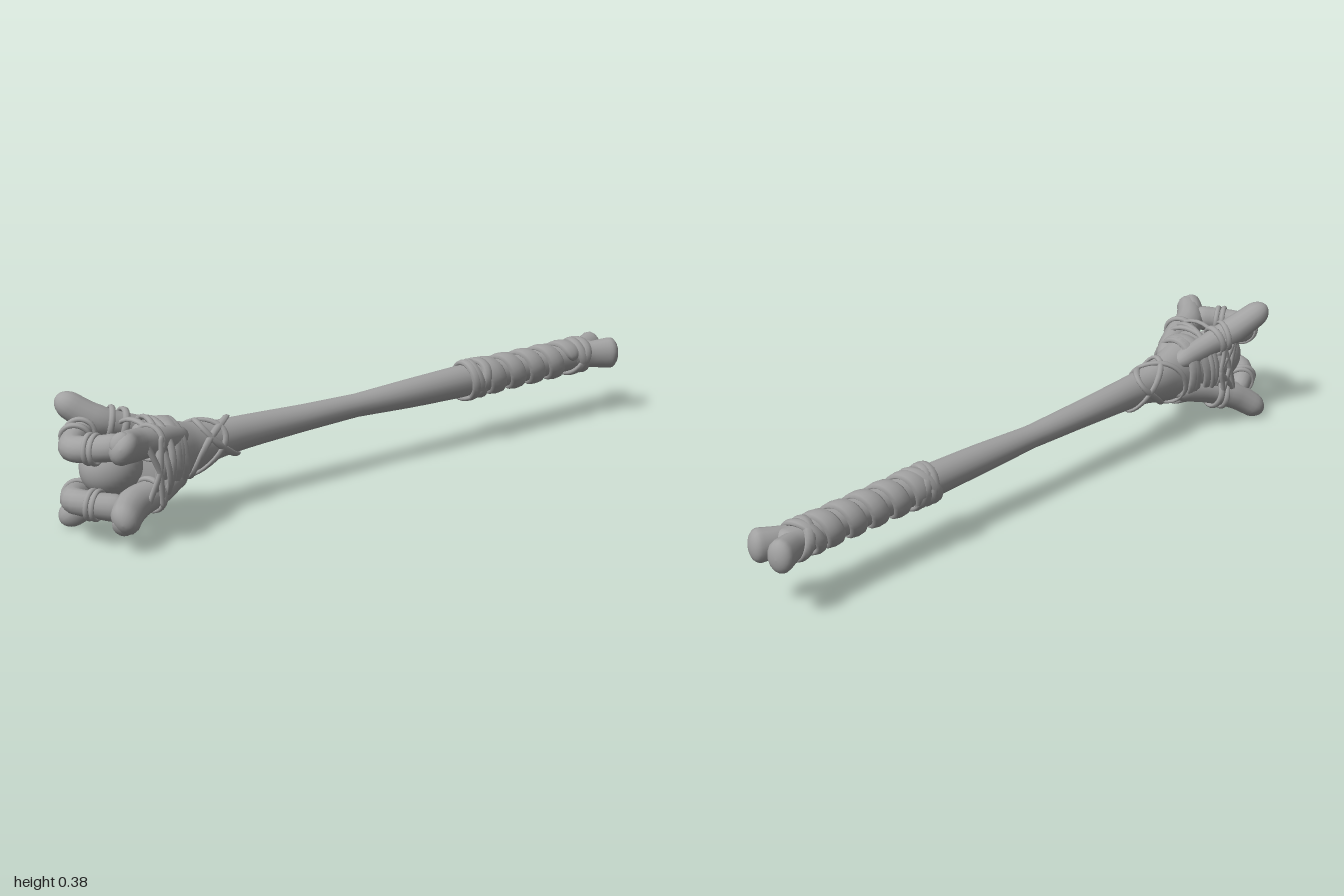
import * as THREE from 'three';

const V = (x, y, z) => new THREE.Vector3(x, y, z);
const MID = 0.2; // height of the mirror plane of the head

const material = new THREE.MeshStandardMaterial({ color: 0xa2a2a2 });
material.name = 'bone grey';

// Sweeps an oval section along a smooth path. radii: [along outward, sideways] per point.
function sweep(points, radii, outward, { closed = false, steps = 28, sides = 14, cap = 0.12 } = {}) {
  const curve = new THREE.CatmullRomCurve3(points, closed);
  const pos = [], index = [];
  const rows = closed ? steps : steps + 1;
  for (let i = 0; i < rows; i++) {
    const u = i / steps;
    const t = closed ? u : (1 - Math.cos(Math.PI * u)) / 2;
    const p = curve.getPoint(t);
    const T = curve.getTangent(t);
    const N = outward(p).clone();
    N.addScaledVector(T, -N.dot(T)).normalize();
    const B = T.clone().cross(N);
    const f = t * (radii.length - 1), k = Math.min(Math.floor(f), Math.max(0, radii.length - 2));
    const a = radii[k], b = radii[Math.min(k + 1, radii.length - 1)];
    const d = Math.min(t, 1 - t) / cap;
    const round = closed || d >= 1 ? 1 : Math.max(0.002, Math.sqrt(1 - (1 - d) ** 2));
    const h = THREE.MathUtils.lerp(a[0], b[0], f - k) * round;
    const w = THREE.MathUtils.lerp(a[1], b[1], f - k) * round;
    for (let j = 0; j < sides; j++) {
      const s = (j / sides) * Math.PI * 2;
      const q = p.clone().addScaledVector(N, Math.cos(s) * h).addScaledVector(B, Math.sin(s) * w);
      pos.push(q.x, q.y, q.z);
    }
  }
  for (let i = 0; i < (closed ? rows : rows - 1); i++) {
    for (let j = 0; j < sides; j++) {
      const n = (i + 1) % rows, m = (j + 1) % sides;
      const a = i * sides + j, b = i * sides + m, c = n * sides + j, d = n * sides + m;
      index.push(a, b, c, b, d, c);
    }
  }
  const g = new THREE.BufferGeometry();
  g.setAttribute('position', new THREE.Float32BufferAttribute(pos, 3));
  g.setIndex(index);
  g.computeVertexNormals();
  return g;
}

// Shaft stations: z, centre x, centre y, half width, half height
const SHAFT = [
  [-0.95, -0.025, 0.205, 0.052, 0.042], [-0.85, -0.025, 0.205, 0.044, 0.044],
  [-0.6, -0.025, 0.205, 0.044, 0.045], [-0.4, -0.026, 0.205, 0.046, 0.049],
  [-0.2, -0.026, 0.205, 0.042, 0.043], [0, -0.029, 0.205, 0.034, 0.034],
  [0.2, -0.028, 0.205, 0.04, 0.039], [0.4, -0.027, 0.205, 0.044, 0.048],
  [0.5, -0.024, 0.203, 0.048, 0.054], [0.6, -0.02, 0.2, 0.055, 0.075],
  [0.68, -0.01, 0.2, 0.072, 0.096], [0.78, 0.0, 0.2, 0.095, 0.108],
];

function shaftAt(z) {
  let k = 0;
  while (k < SHAFT.length - 2 && SHAFT[k + 1][0] < z) k++;
  const a = SHAFT[k], b = SHAFT[k + 1], f = (z - a[0]) / (b[0] - a[0]);
  return a.map((v, i) => v + (b[i] - v) * f);
}

export function createModel() {
  const model = new THREE.Group();
  model.name = 'boneClub';

  const add = (name, geometry) => {
    const mesh = new THREE.Mesh(geometry, material);
    mesh.name = name;
    model.add(mesh);
    return mesh;
  };

  // Strap lying on the shaft; angles in turns, zAt gives its position along the shaft
  const strap = (name, turns, zAt, thick, width, closed, lift = 0.004) => {
    const n = Math.round(turns * 16), pts = [];
    for (let i = 0; i < (closed ? n : n + 1); i++) {
      const a = (i / 16) * Math.PI * 2;
      const [z, x, y, rx, ry] = shaftAt(zAt(a));
      pts.push(V(x + (rx + lift) * Math.cos(a), y + (ry + lift) * Math.sin(a), z));
    }
    add(name, sweep(pts, [[thick, width]], (p) => {
      const s = shaftAt(p.z);
      return V(p.x - s[1], p.y - s[2], 0);
    }, { closed, steps: n * 2, sides: 8, cap: 0.03 }));
  };

  // Free cord loop around a centre
  const loop = (name, c, axis, rx, ry, thick, width) => {
    const n = axis.clone().normalize();
    const u = Math.abs(n.x) > 0.8 ? V(0, 1, 0) : V(1, 0, 0);
    u.addScaledVector(n, -u.dot(n)).normalize();
    const v = n.clone().cross(u);
    const pts = Array.from({ length: 16 }, (_, i) => {
      const a = (i / 16) * Math.PI * 2;
      return c.clone().addScaledVector(u, rx * Math.cos(a)).addScaledVector(v, ry * Math.sin(a));
    });
    add(name, sweep(pts, [[thick, width]], (p) => p.clone().sub(c), { closed: true, steps: 32, sides: 8 }));
  };

  // Long shaft and its two-lobed butt
  add('shaft', sweep(SHAFT.map((s) => V(s[1], s[2], s[0])), SHAFT.map((s) => [s[4], s[3]]),
    () => V(0, 1, 0), { steps: 70, sides: 20, cap: 0.03 }));
  for (const s of [-1, 1]) {
    add('buttKnuckle', sweep(
      [V(-0.025 + s * 0.012, 0.205, -0.82), V(-0.022 + s * 0.022, 0.205, -0.91), V(-0.02 + s * 0.054, 0.205, -1.0)],
      [[0.035, 0.028], [0.041, 0.032], [0.053, 0.04]], () => V(0, 1, 0), { cap: 0.16 }));
  }

  // Grip: spiral strap closed off by crossed bands
  strap('gripSpiral', 4.75, (a) => -0.83 + 0.08 * a / (Math.PI * 2), 0.01, 0.031, false);
  for (const [z, amp] of [[-0.875, 0.02], [-0.86, -0.025], [-0.45, 0.025], [-0.44, -0.03], [-0.425, 0.008]]) {
    strap('gripBand', 1, (a) => z + amp * Math.sin(a + 0.6), 0.009, 0.018, true, 0.006);
  }

  // Neck: crossed thongs and broad bands
  for (const [z, amp, ph] of [[0.5, 0.075, 0.3], [0.53, 0.085, 2.4], [0.57, 0.07, 4.2]]) {
    strap('neckThong', 1, (a) => z + amp * Math.sin(a + ph), 0.006, 0.01, true, 0.004);
  }
  for (const [z, amp, ph] of [[0.67, 0.006, 0], [0.69, 0.012, 2], [0.71, 0.025, 4]]) {
    strap('neckBand', 1, (a) => z + amp * Math.sin(a + ph), 0.009, 0.022, true, 0.005);
  }

  // Orb held in the head
  const orb = add('orb', new THREE.SphereGeometry(1, 32, 20));
  orb.scale.set(0.08, 0.082, 0.088);
  orb.position.set(-0.015, 0.2, 0.85);

  // Upper and lower jaws, mirrored in height
  for (const s of [1, -1]) {
    const side = s > 0 ? 'upper' : 'lower';
    const P = (x, dy, z) => V(x, MID + s * dy, z);
    const up = () => V(0.3, s, -0.4);

    add(side + 'RightProng', sweep(
      [P(-0.045, 0.045, 0.62), P(-0.07, 0.078, 0.75), P(-0.096, 0.108, 0.84), P(-0.152, 0.176, 0.93)],
      [[0.03, 0.03], [0.036, 0.033], [0.043, 0.042], [0.036, 0.035]], up));
    add(side + 'LeftProng', sweep(
      [P(0, 0.045, 0.62), P(0.058, 0.07, 0.75), P(0.088, 0.082, 0.85), P(0.158, 0.104, 0.93)],
      [[0.03, 0.03], [0.04, 0.038], [0.048, 0.042], [0.046, 0.036]], up));
    add(side + 'ProngKnuckle', sweep(
      [P(0.085, 0.085, 0.86), P(0.118, 0.105, 0.9), P(0.148, 0.12, 0.925)],
      [[0.03, 0.03], [0.034, 0.03], [0.03, 0.025]], up, { cap: 0.2 }));
    add(side + 'FrontBar', sweep(
      [P(-0.108, 0.1, 0.85), P(-0.073, 0.08, 0.92), P(-0.02, 0.073, 0.965), P(0.04, 0.078, 0.93), P(0.095, 0.088, 0.87)],
      [[0.034, 0.034], [0.036, 0.034], [0.036, 0.035], [0.036, 0.034], [0.04, 0.036]], up));

    // Bindings on the front bar and the prongs
    for (const x of [0.026, 0.041]) {
      loop('barBinding', P(x, 0.077, 0.94 - (x - 0.026) * 0.6), V(1, 0.05 * s, -0.6), 0.039, 0.039, 0.006, 0.008);
    }
    loop('barBinding', P(-0.07, 0.081, 0.922), V(0.8, -0.35 * s, 0.75), 0.04, 0.04, 0.007, 0.009);
    loop('barBinding', P(-0.082, 0.086, 0.9), V(0.9, -0.1 * s, 0.8), 0.04, 0.04, 0.007, 0.009);
    loop('prongBinding', P(-0.078, 0.086, 0.775), V(-0.25, 0.3 * s, 1), 0.041, 0.044, 0.007, 0.011);
    loop('prongBinding', P(-0.086, 0.096, 0.805), V(-0.5, 0.2 * s, 1), 0.043, 0.044, 0.006, 0.009);
    loop('prongBinding', P(0.066, 0.073, 0.78), V(0.35, 0.1 * s, 1), 0.047, 0.046, 0.007, 0.011);

    // Net of cords down the sides of the head
    for (const [x, a, b, c] of [[-1, 0.78, 0.76, 0.83], [-1, 0.83, 0.8, 0.77], [1, 0.77, 0.78, 0.82]]) {
      const e = x < 0 ? -0.112 : 0.108;
      add('sideCord', sweep(
        [P(e + x * 0.002, 0.1, a), P(e + x * 0.006, 0.045, (a + b) / 2), P(e + x * 0.007, 0, b), P(e + x * 0.006, -0.045, (b + c) / 2), P(e + x * 0.002, -0.09, c)],
        [[0.006, 0.009]], () => V(x, 0, 0), { sides: 8, cap: 0.06 }));
    }
  }

  // Cords lashed around the base of the head
  loop('headLashing', V(0.002, 0.2, 0.745), V(0.12, 0.1, 1), 0.105, 0.118, 0.007, 0.012);
  loop('headLashing', V(0.004, 0.2, 0.76), V(-0.2, 0.12, 1), 0.108, 0.122, 0.007, 0.01);
  loop('headLashing', V(0.004, 0.2, 0.765), V(0.15, -0.18, 1), 0.11, 0.124, 0.006, 0.01);

  return model;
}
